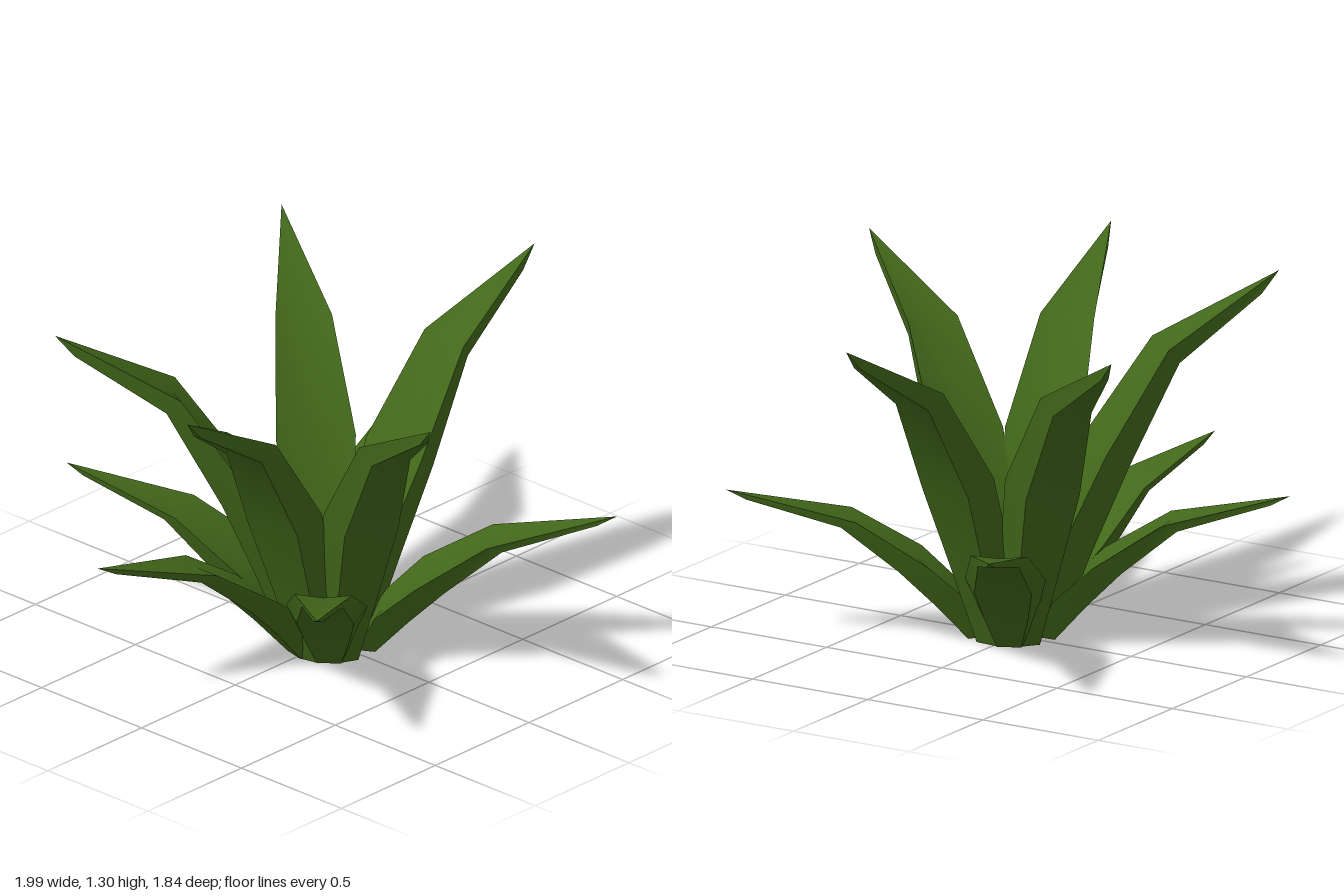
import * as THREE from 'three';
import { toCreasedNormals } from 'three/addons/utils/BufferGeometryUtils.js';

// Leaf stations from base to tip: the rim (r, y, half width, groove depth)
// and the narrower back panel (r, y, half width)
const stations = [
  { rim: [0.10, 0.03, 0.065, 0.015], back: [0.16, 0.00, 0.045] },
  { rim: [0.16, 0.36, 0.11, 0.025], back: [0.28, 0.32, 0.08] },
  { rim: [0.31, 0.69, 0.148, 0.03], back: [0.41, 0.63, 0.105] },
  { rim: [0.56, 1.06, 0.105, 0.02], back: [0.61, 1.00, 0.075] },
  { rim: [1.01, 1.30, 0, 0], back: [0.94, 1.22, 0.015] },
];

// One thick, grooved blade growing outwards along +x
function leafGeometry() {
  const n = 5;
  const positions = [];
  const index = [];
  for (const { rim: [r, y, w, groove], back: [br, by, bw] } of stations) {
    positions.push(
      r, y, w,
      r + groove * 0.8, y - groove * 0.6, 0,
      r, y, -w,
      br, by, -bw,
      br, by, bw,
    );
  }
  for (let i = 0; i < stations.length - 1; i++) {
    for (let j = 0; j < n; j++) {
      const a = i * n + j;
      const b = i * n + (j + 1) % n;
      index.push(a, a + n, b + n, a, b + n, b);
    }
  }
  // base cap and the small facet under the tip
  index.push(1, 2, 3, 1, 3, 4, 1, 4, 0);
  const end = (stations.length - 1) * n;
  index.push(end, end + 4, end + 3);

  const geometry = new THREE.BufferGeometry();
  geometry.setAttribute('position', new THREE.Float32BufferAttribute(positions, 3));
  geometry.setIndex(index);
  return toCreasedNormals(geometry, 0.6);
}

export function createModel() {
  const plant = new THREE.Group();
  plant.name = 'plant';
  const material = new THREE.MeshStandardMaterial({ color: 0x42681a, side: THREE.DoubleSide });
  const geometry = leafGeometry();
  const centre = [-0.01, 0.02];

  // Each ring of leaves is given by its tip positions (x, z) and its height
  const rings = [
    { name: 'tallLeaf', height: 1, tips: [[0.99, 0.1], [-0.44, 0.92], [-1, 0.23], [-0.78, -0.64], [0.6, -0.8]] },
    { name: 'lowLeaf', height: 0.44, tips: [[0.62, 0.86], [-0.78, 0.67], [-1, -0.22], [-0.42, -0.92], [0.93, -0.48]] },
  ];
  for (const { name, height, tips } of rings) {
    tips.forEach(([x, z], i) => {
      const dx = x - centre[0];
      const dz = z - centre[1];
      const leaf = new THREE.Mesh(geometry, material);
      leaf.name = name + (i + 1);
      leaf.position.set(centre[0], 0, centre[1]);
      leaf.rotation.y = -Math.atan2(dz, dx);
      leaf.scale.set(Math.hypot(dx, dz) / 1.01, height, 1);
      plant.add(leaf);
    });
  }
  return plant;
}
